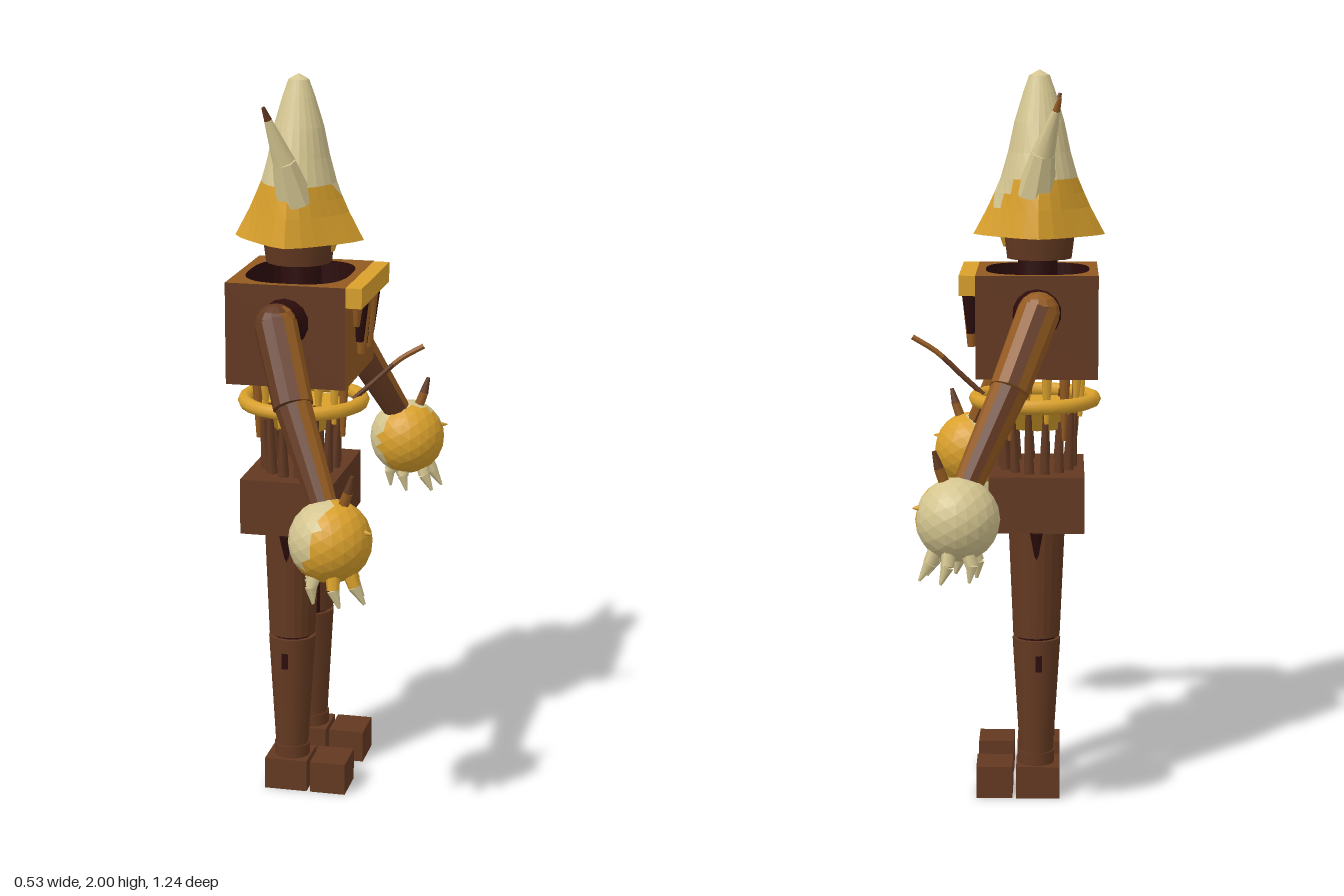
import * as THREE from 'three';

const mat = (name, color, side = THREE.FrontSide) => {
  const m = new THREE.MeshStandardMaterial({ color, side });
  m.name = name;
  return m;
};

export function createModel() {
  const root = new THREE.Group();
  const brown = mat('brown', 0x633921);
  const tan = mat('orange brown', 0x935a21);
  const olive = mat('yellow brown', 0x7a551a);
  const dark = mat('dark maroon', 0x2c0c0c);
  const gold = mat('gold', 0xd9a02c, THREE.DoubleSide);
  const cream = mat('cream', 0xd4c590, THREE.DoubleSide);
  const V = (x, y, z) => new THREE.Vector3(x, y, z);
  const CX = -0.08; // body axis

  const add = (name, geo, material, x = 0, y = 0, z = 0) => {
    const m = new THREE.Mesh(geo, material);
    m.name = name;
    m.position.set(x, y, z);
    root.add(m);
    return m;
  };
  const box = (name, w, h, d, m, x, y, z) => add(name, new THREE.BoxGeometry(w, h, d), m, x, y, z);

  // flat-shaded geometry whose faces are sorted into materials by a rule
  const painted = (name, source, mats, rule) => {
    const src = source.index ? source.toNonIndexed() : source;
    const p = src.attributes.position;
    const lists = mats.map(() => []);
    const t = new THREE.Triangle(), c = V(0, 0, 0), n = V(0, 0, 0);
    for (let i = 0; i < p.count; i += 3) {
      t.setFromAttributeAndIndices(p, i, i + 1, i + 2);
      t.getMidpoint(c);
      t.getNormal(n);
      const list = lists[rule(c, n)];
      for (const v of [t.a, t.b, t.c]) list.push(v.x, v.y, v.z);
    }
    const geo = new THREE.BufferGeometry();
    geo.setAttribute('position', new THREE.Float32BufferAttribute(lists.flat(), 3));
    let start = 0;
    lists.forEach((l, i) => { geo.addGroup(start, l.length / 3, i); start += l.length / 3; });
    geo.computeVertexNormals();
    return add(name, geo, mats);
  };

  // tapered bar from a to b
  const barGeo = (a, b, ra, rb, sides = 7) => {
    const d = b.clone().sub(a);
    const g = new THREE.CylinderGeometry(rb, ra, d.length(), sides);
    g.applyQuaternion(new THREE.Quaternion().setFromUnitVectors(V(0, 1, 0), d.normalize()));
    return g.translate((a.x + b.x) / 2, (a.y + b.y) / 2, (a.z + b.z) / 2);
  };
  const bar = (name, a, b, ra, rb, m, sides) => add(name, barGeo(a, b, ra, rb, sides), m);

  for (const s of [1, -1]) {
    // feet and legs
    box('heel', 0.12, 0.09, 0.12, brown, -0.085, 0.05, s * 0.12);
    box('toe', 0.1, 0.09, 0.12, brown, 0.035, 0.05, s * 0.12);
    bar('ankle', V(CX, 0.09, s * 0.12), V(CX, 0.13, s * 0.12), 0.05, 0.05, brown, 16);
    bar('shin', V(CX, 0.125, s * 0.12), V(CX, 0.45, s * 0.113), 0.046, 0.066, brown, 16);
    box('shinSlot', 0.018, 0.045, 0.006, dark, -0.087, 0.388, s * 0.175);
    bar('knee', V(CX, 0.44, s * 0.113), V(CX, 0.47, s * 0.112), 0.055, 0.055, dark, 12);
    painted('thigh', barGeo(V(CX, 0.457, s * 0.112), V(CX, 0.76, s * 0.105), 0.064, 0.077, 20),
      [brown, dark], (c, n) => (n.z * s < -0.75 ? 1 : 0));
    add('hip', new THREE.SphereGeometry(0.07, 12, 8), dark, CX, 0.755, s * 0.085);
    bar('hipDrop', V(CX, 0.757, s * 0.178), V(CX, 0.68, s * 0.176), 0.02, 0.004, dark, 6);

    // shoulder joint
    bar('shoulder', V(CX, 1.36, s * 0.18), V(CX, 1.365, s * 0.24), 0.068, 0.045, dark, 14);

    // arm, patched in two browns
    const armRule = (c, n) => (s > 0 ? n.x > 0.45 : n.z < 0.45 && n.z > -0.85) ? 1 : 0;
    const A = V(-0.085, 1.37, s * 0.262), B = V(-0.01, 1.18, s * 0.375), C = V(0.1, 0.94, s * 0.49);
    painted('upperArm', barGeo(A, B, 0.058, 0.054, 12), [brown, tan], armRule);
    painted('armCap', new THREE.SphereGeometry(0.057, 12, 8).translate(A.x, A.y, A.z), [brown, tan], armRule);
    painted('forearm', barGeo(B, C, 0.05, 0.038, 12), [brown, tan], armRule);

    // ball hand with two-tone patches
    const H = V(0.12, 0.865, s * 0.51);
    painted('hand', new THREE.IcosahedronGeometry(0.11, 3).translate(H.x, H.y, H.z), [gold, cream],
      (c, n) => (s > 0 ? -0.8 * n.x + 0.35 * n.y > 0.28 : n.z + 0.6 * n.x < 0.4) ? 1 : 0);

    // fingers and thorn
    for (let i = 0; i < 6; i++) {
      const a = i / 6 * Math.PI * 2 + 0.3;
      const dx = Math.cos(a), dz = Math.sin(a) * s;
      const cx = 0.13, cz = s * 0.525;
      const mid = V(cx + dx * 0.065, 0.755, cz + dz * 0.06);
      bar('finger', V(cx + dx * 0.045, 0.8, cz + dz * 0.045), mid, 0.019, 0.017, s > 0 && dx > 0.2 ? gold : cream, 6);
      bar('fingerTip', mid, V(cx + dx * 0.077 + 0.015, 0.71, cz + dz * 0.065), 0.017, 0.004, cream, 6);
    }
    bar('thorn', V(0.15, 0.95, s * 0.51), V(0.168, 1.0, s * 0.515), 0.016, 0.014, tan, 6);
    bar('thornTip', V(0.168, 1.0, s * 0.515), V(0.18, 1.045, s * 0.52), 0.014, 0.006, brown, 6);
    bar('sideThorn', V(0.2, 0.9, s * 0.53), V(0.235, 0.9, s * 0.54), 0.014, 0.002, gold, 6);

    // hat horns, broad where they grow out of the hat
    const h0 = V(-0.075, 1.67, s * 0.085), h1 = V(-0.095, 1.78, s * 0.122);
    const h2 = V(-0.13, 1.895, s * 0.155), h3 = V(-0.14, 1.93, s * 0.167);
    painted('horn', barGeo(h0, h1, 0.056, 0.032, 8), [gold, cream], (c) => (c.y > 1.68 ? 1 : 0));
    bar('hornUpper', h1, h2, 0.032, 0.011, cream, 8);
    bar('hornTip', h2, h3, 0.011, 0.005, s > 0 ? brown : tan, 7);
  }

  // pelvis
  box('pelvis', 0.26, 0.155, 0.36, brown, CX, 0.833, 0);

  // hollow chest box with a rounded-square opening
  const shape = new THREE.Shape([[-0.165, -0.185], [0.165, -0.185], [0.165, 0.185], [-0.165, 0.185]]
    .map(([x, y]) => new THREE.Vector2(x, y)));
  const soft = (v) => Math.sign(v) * Math.abs(v) ** 0.7;
  const rim = Array.from({ length: 32 }, (_, i) => {
    const a = -i / 32 * Math.PI * 2;
    return new THREE.Vector2(soft(Math.cos(a)) * 0.142, soft(Math.sin(a)) * 0.163);
  });
  shape.holes.push(new THREE.Path(rim));
  const chest = new THREE.ExtrudeGeometry(shape, { depth: 0.28, bevelEnabled: false });
  chest.rotateX(-Math.PI / 2).translate(CX, 1.18, 0);
  painted('chest', chest, [brown, tan, olive, dark], (c, n) => {
    if (Math.abs(n.y) > 0.9) return n.y > 0 ? 1 : 0;
    if (c.x > 0.08) return 1;
    if (c.x < -0.24) return 2;
    return Math.abs(c.z) > 0.18 ? 0 : 3;
  });
  const floor = new THREE.ExtrudeGeometry(new THREE.Shape(rim), { depth: 0.03, bevelEnabled: false });
  add('chestFloor', floor.rotateX(-Math.PI / 2), dark, CX, 1.235, 0);

  // chest beam with drips
  box('chestBeam', 0.045, 0.055, 0.36, gold, 0.107, 1.432, 0);
  for (const [z, y, r, m] of [[-0.075, 1.29, 0.022, dark], [-0.045, 1.25, 0.024, tan], [0, 1.27, 0.014, dark],
    [0.045, 1.25, 0.024, tan], [0.075, 1.29, 0.022, dark], [0.115, 1.34, 0.016, tan]])
    bar('drip', V(0.105, 1.41, z), V(0.1, y, z * 0.92), r, r * 0.5, m, 7);

  // waist ring, bowl and strands
  add('waistRing', new THREE.TorusGeometry(0.163, 0.02, 8, 24).rotateX(Math.PI / 2), gold, -0.073, 1.1, 0);
  bar('bowl', V(CX, 1.02, 0), V(CX, 1.09, 0), 0.075, 0.128, gold, 14);
  for (let i = 0; i < 14; i++) {
    const a = i / 14 * Math.PI * 2, dx = Math.cos(a), dz = Math.sin(a);
    const low = 1.0 + 0.05 * (i % 3);
    bar('strand', V(CX + dx * 0.122, 1.2, dz * 0.145), V(CX + dx * 0.118, low, dz * 0.135), 0.016, 0.007, i % 3 ? gold : tan, 6);
    bar('spike', V(CX + dx * 0.095, 0.9, dz * 0.125), V(CX + dx * 0.105, 1.05 + 0.03 * (i % 3), dz * 0.13), 0.017, 0.008, brown, 6);
  }

  // curved twig at the front
  const twig = new THREE.CatmullRomCurve3([V(0.07, 1.11, 0), V(0.13, 1.165, 0), V(0.2, 1.23, 0), V(0.265, 1.27, 0)]);
  painted('twig', new THREE.TubeGeometry(twig, 10, 0.008, 6), [brown, tan], (c) => (c.x > 0.18 ? 1 : 0));

  // neck and head
  bar('neck', V(CX, 1.26, 0), V(CX, 1.5, 0), 0.06, 0.055, dark, 14);
  bar('head', V(CX - 0.005, 1.49, 0), V(CX - 0.005, 1.63, 0), 0.09, 0.108, brown, 14);
  bar('faceDrop', V(0.0, 1.58, 0), V(0.002, 1.52, 0), 0.035, 0.012, gold, 7);

  // peaked hat: loops of [height, half width x, half width z], diamond-shaped at the brim
  const loops = [[1.555, 0.18, 0.17], [1.63, 0.14, 0.152], [1.67, 0.122, 0.14], [1.71, 0.105, 0.128],
    [1.78, 0.085, 0.095], [1.86, 0.068, 0.066], [1.94, 0.044, 0.038], [1.985, 0.028, 0.022], [2.0, 0.001, 0.001]];
  const hat = new THREE.LatheGeometry(loops.map(([y]) => new THREE.Vector2(1, y)), 24);
  const hp = hat.attributes.position;
  for (let i = 0; i < hp.count; i++) {
    const k = i % loops.length, [y, rx, rz] = loops[k];
    const x = hp.getX(i), z = hp.getZ(i);
    const pinch = 1 - Math.max(0, 0.2 - k * 0.04) * Math.abs(2 * x * z);
    hp.setXYZ(i, CX - 0.004 + x * rx * pinch, y, z * rz * pinch);
  }
  // cream peak dipping into the gold at the front
  painted('hat', hat, [gold, cream], (c) => {
    const dip = c.x > -0.04 ? Math.max(0, 1 - Math.abs(c.z + 0.04) / 0.06) * 0.09 : 0;
    return c.y > 1.705 - dip ? 1 : 0;
  });

  return root;
}
